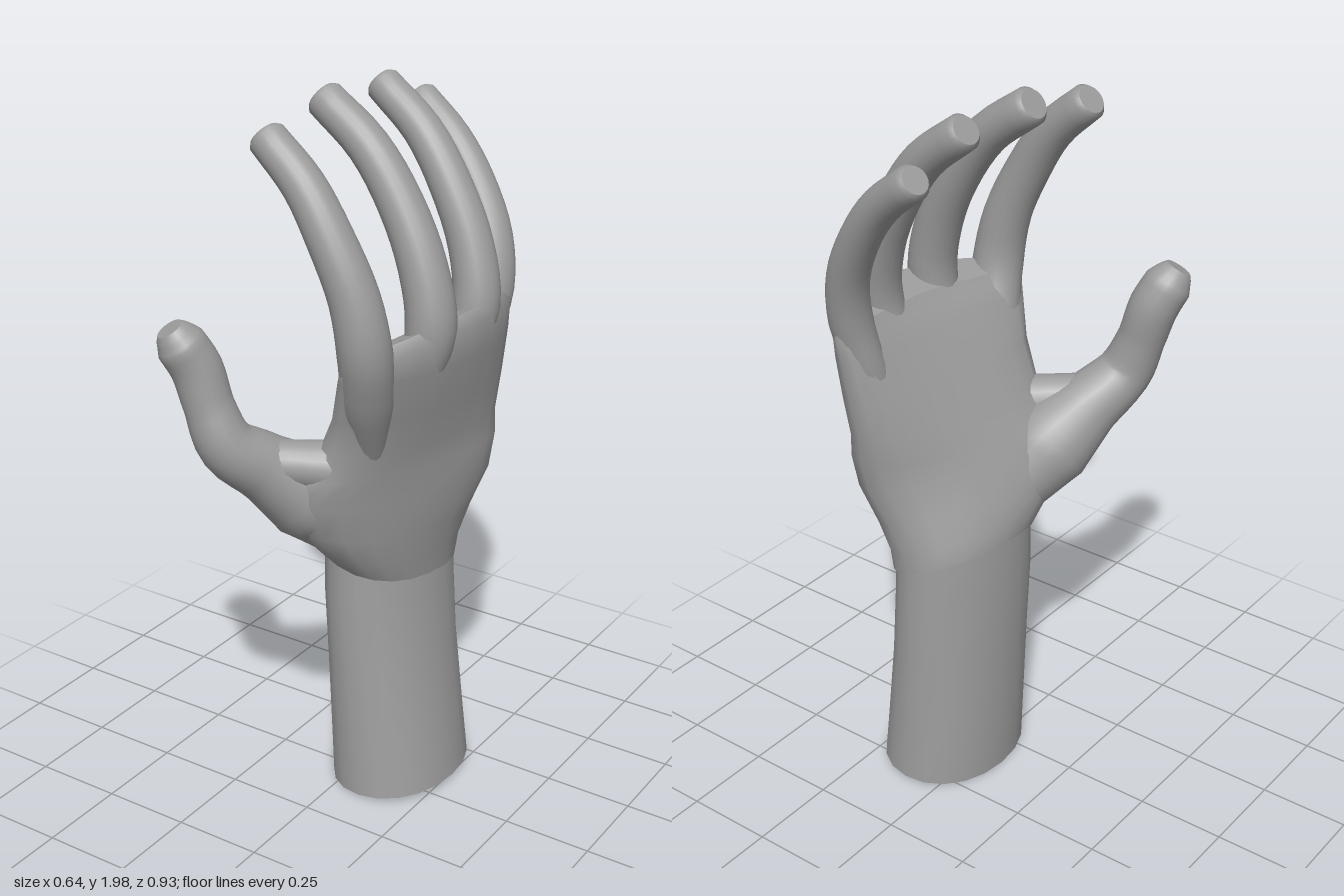
import * as THREE from 'three';

const SIDES = 20;
const material = new THREE.MeshStandardMaterial({ color: 0x9c9c9c, side: THREE.DoubleSide });

// Skin a list of rings (each SIDES points); caps get their own ring so the edge stays crisp
function loft(name, rings, capStart, capEnd) {
  const pos = [], index = [];
  rings.forEach(r => r.forEach(p => pos.push(p.x, p.y, p.z)));
  for (let i = 0; i < rings.length - 1; i++) {
    for (let j = 0; j < SIDES; j++) {
      const k = (j + 1) % SIDES;
      const a = i * SIDES + j, b = i * SIDES + k;
      index.push(a, b, b + SIDES, a, b + SIDES, a + SIDES);
    }
  }
  const cap = (ring, flip) => {
    const base = pos.length / 3;
    const c = ring.reduce((s, p) => s.add(p), new THREE.Vector3()).divideScalar(SIDES);
    [...ring, c].forEach(p => pos.push(p.x, p.y, p.z));
    for (let j = 0; j < SIDES; j++) {
      const a = base + j, b = base + (j + 1) % SIDES;
      index.push(base + SIDES, flip ? b : a, flip ? a : b);
    }
  };
  if (capStart) cap(rings[0], true);
  if (capEnd) cap(rings[rings.length - 1], false);
  const g = new THREE.BufferGeometry();
  g.setAttribute('position', new THREE.Float32BufferAttribute(pos, 3));
  g.setIndex(index);
  g.computeVertexNormals();
  const mesh = new THREE.Mesh(g, material);
  mesh.name = name;
  return mesh;
}

// Level oval ring: z is the width, x the thickness; it can lean, arch and slope
function slab([y, zc, a, xc, b, tilt = 0, arch = 0, slope = 0], power) {
  const soft = v => Math.sign(v) * Math.abs(v) ** power;
  return Array.from({ length: SIDES }, (_, j) => {
    const t = j / SIDES * Math.PI * 2;
    const u = soft(Math.cos(t));
    const x = xc + b * soft(Math.sin(t)) + tilt * u + arch * u * u;
    return new THREE.Vector3(x, y + slope * (x - xc), zc + a * u);
  });
}

// Round limb along a smooth path of [x, y, z, radius] with a softly blunted tip
function limb(name, path, steps = 20) {
  const curve = new THREE.CatmullRomCurve3(path.map(p => new THREE.Vector3(p[0], p[1], p[2])));
  const ringAt = (u, scale, push) => {
    const f = u * (path.length - 1), i = Math.min(Math.floor(f), path.length - 2);
    const r = THREE.MathUtils.lerp(path[i][3], path[i + 1][3], f - i) * scale;
    const t = curve.getTangent(u), c = curve.getPoint(u).addScaledVector(t, push);
    const U = new THREE.Vector3(0, 0, 1).addScaledVector(t, -t.z).normalize();
    const V = t.clone().cross(U);
    return Array.from({ length: SIDES }, (_, j) => {
      const q = j / SIDES * Math.PI * 2;
      return c.clone().addScaledVector(U, r * Math.cos(q)).addScaledVector(V, r * Math.sin(q));
    });
  };
  const rings = [];
  for (let i = 0; i <= steps; i++) rings.push(ringAt(i / steps, 1, 0));
  rings.push(ringAt(1, 0.78, 0.013));
  return loft(name, rings, true, true);
}

export function createModel() {
  const hand = new THREE.Group();
  hand.name = 'hand';

  // Forearm: open tube that widens downwards
  hand.add(loft('forearm', [
    [0.015, -0.095, 0.225, 0.095, 0.175, 0, 0, 0.05],
    [0.2, -0.095, 0.217, 0.08, 0.163, -0.01],
    [0.4, -0.095, 0.208, 0.065, 0.148, -0.02],
    [0.6, -0.095, 0.202, 0.053, 0.138, -0.03],
    [0.78, -0.095, 0.195, 0.05, 0.13, -0.035],
  ].map(r => slab(r, 0.95)), false, false));

  // Palm: thick heel on the thumb side, thinning to an arched row of knuckles
  hand.add(loft('palm', [
    [0.7, -0.092, 0.204, 0.051, 0.136, -0.035, 0, -0.35],
    [0.76, -0.065, 0.236, 0.052, 0.14, -0.045, 0, -0.3],
    [0.84, -0.035, 0.272, 0.062, 0.14, -0.075, 0, -0.2],
    [0.94, -0.03, 0.3, 0.085, 0.138, -0.1, 0, -0.1],
    [1.02, -0.045, 0.3, 0.112, 0.128, -0.085],
    [1.09, -0.065, 0.29, 0.138, 0.118, -0.06, -0.01],
    [1.2, -0.065, 0.306, 0.18, 0.102, -0.045, -0.025],
    [1.32, -0.055, 0.33, 0.222, 0.085, -0.035, -0.045],
    [1.39, -0.05, 0.338, 0.245, 0.07, -0.035, -0.06, 0.3],
    [1.42, -0.05, 0.32, 0.243, 0.045, -0.035, -0.06, 0.4],
  ].map(r => slab(r, 0.89)), true, true));

  // Thumb rising out of its fleshy mound
  hand.add(limb('thumb', [
    [0.06, 0.76, -0.02, 0.04],
    [0.01, 0.84, 0.07, 0.105],
    [-0.05, 0.94, 0.165, 0.125],
    [-0.11, 1.035, 0.265, 0.092],
    [-0.165, 1.115, 0.35, 0.077],
    [-0.205, 1.22, 0.367, 0.066],
    [-0.235, 1.32, 0.375, 0.068],
    [-0.262, 1.385, 0.4, 0.066],
    [-0.276, 1.418, 0.415, 0.047],
  ], 32));

  // Web of skin between thumb and palm
  hand.add(limb('thumbWeb', [
    [0.15, 1.02, 0.06, 0.04],
    [0.07, 1.035, 0.15, 0.075],
    [-0.01, 1.045, 0.21, 0.065],
    [-0.1, 1.06, 0.275, 0.06],
    [-0.16, 1.1, 0.34, 0.03],
  ]));

  // Four fingers curling over the palm, rooted inside it: [x, y] path, z at each point, radii
  const fingers = [
    ['indexFinger',
      [[0.13, 1.08], [0.158, 1.25], [0.18, 1.4], [0.155, 1.54], [0.09, 1.68], [0.01, 1.8], [-0.103, 1.9]],
      [0.13, 0.187, 0.233, 0.243, 0.248, 0.243, 0.235], [0.04, 0.068, 0.07, 0.05]],
    ['middleFinger',
      [[0.17, 1.1], [0.21, 1.26], [0.248, 1.42], [0.215, 1.57], [0.14, 1.72], [0.04, 1.85], [-0.095, 1.95]],
      [0.03, 0.035, 0.032, 0.022, 0.01, 0.003, -0.003], [0.03, 0.055, 0.067, 0.051]],
    ['ringFinger',
      [[0.17, 1.1], [0.215, 1.26], [0.256, 1.42], [0.225, 1.57], [0.15, 1.72], [0.055, 1.845], [-0.075, 1.945]],
      [-0.13, -0.155, -0.18, -0.2, -0.215, -0.23, -0.243], [0.03, 0.055, 0.064, 0.048]],
    ['littleFinger',
      [[0.17, 1.1], [0.198, 1.26], [0.22, 1.42], [0.198, 1.55], [0.13, 1.68], [0.045, 1.785], [-0.07, 1.875]],
      [-0.24, -0.295, -0.333, -0.36, -0.385, -0.405, -0.426], [0.03, 0.052, 0.058, 0.046]],
  ];
  for (const [name, path, zs, [root, base, knuckle, tip]] of fingers) {
    hand.add(limb(name, path.map(([x, y], i) => {
      const radius = i < 2 ? [root, base][i] : THREE.MathUtils.lerp(knuckle, tip, (i - 2) / 4);
      return [x, y, zs[i], radius];
    }), 24));
  }
  return hand;
}
